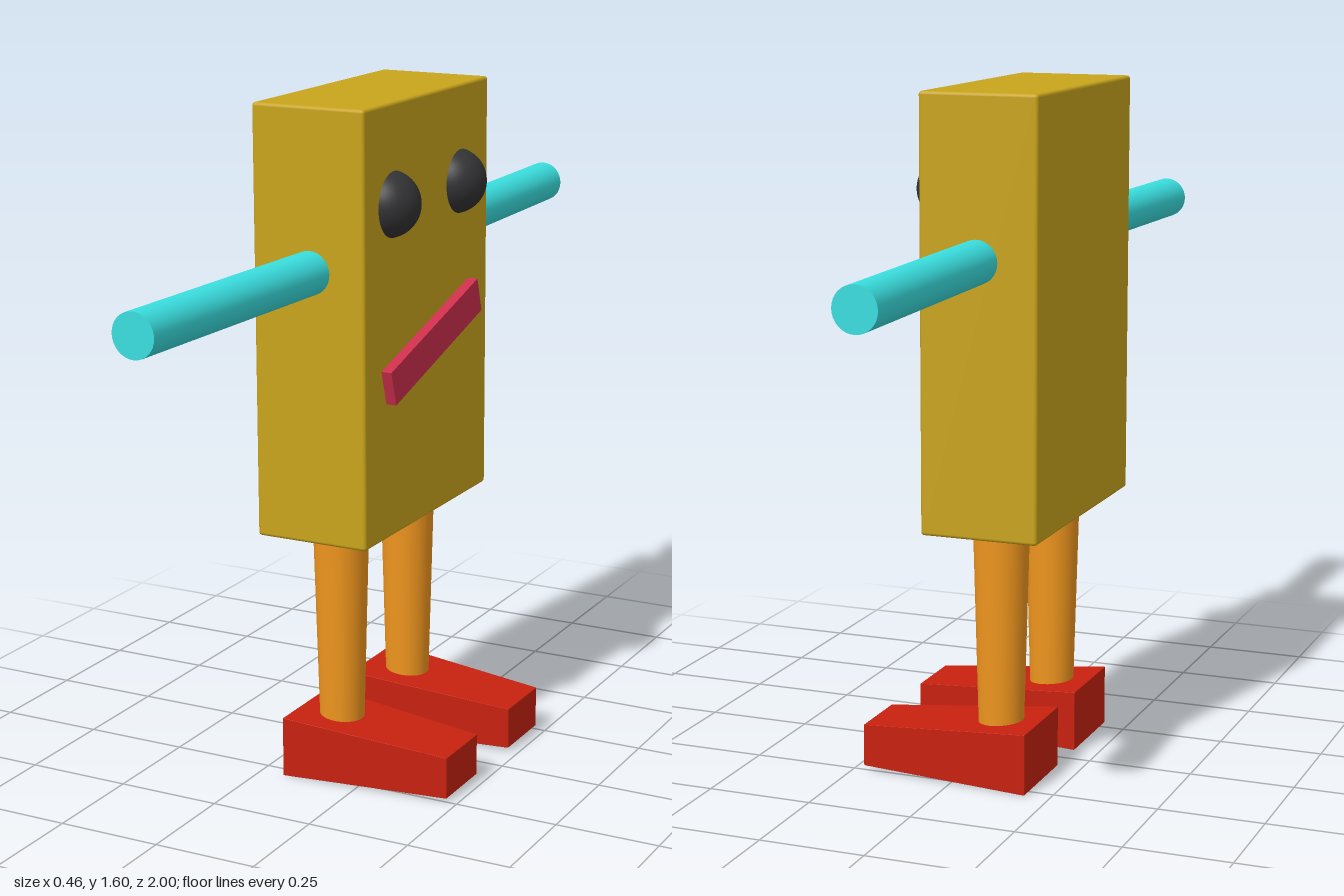
import * as THREE from 'three';
import { RoundedBoxGeometry } from 'three/addons/geometries/RoundedBoxGeometry.js';

const paint = (color) => new THREE.MeshStandardMaterial({ color });
const yellow = paint(0xc9a41c), black = paint(0x333335), pink = paint(0xcc2f4c);
const cyan = paint(0x3adfe0), orange = paint(0xf0961e), red = paint(0xc8210f);

function add(parent, name, geometry, material, x, y, z) {
  const mesh = new THREE.Mesh(geometry, material);
  mesh.name = name;
  mesh.position.set(x, y, z);
  parent.add(mesh);
  return mesh;
}

// Wedge shoe running along x, lower and narrower at the toe
function footGeometry() {
  const length = 0.415;
  const geo = new RoundedBoxGeometry(length, 1, 1, 2, 0.006);
  const p = geo.attributes.position;
  for (let i = 0; i < p.count; i++) {
    const t = p.getX(i) / length + 0.5;
    const bottom = 0.01 * t;
    const top = THREE.MathUtils.lerp(0.145, 0.11, t);
    const width = THREE.MathUtils.lerp(0.225, 0.163, t);
    p.setY(i, THREE.MathUtils.lerp(bottom, top, p.getY(i) + 0.5));
    p.setZ(i, p.getZ(i) * width);
  }
  geo.computeVertexNormals();
  return geo;
}

// Arm along z, leaning slightly back towards the hand
function armGeometry(side) {
  const inner = 0.25, outer = 1;
  const geo = new THREE.CylinderGeometry(0.05, 0.05, outer - inner, 32);
  geo.rotateX(side * Math.PI / 2);
  geo.translate(0, 0, side * (inner + outer) / 2);
  const p = geo.attributes.position;
  for (let i = 0; i < p.count; i++) {
    const t = (Math.abs(p.getZ(i)) - inner) / (outer - inner);
    p.setX(i, p.getX(i) - 0.022 * t);
  }
  geo.computeVertexNormals();
  return geo;
}

export function createModel() {
  const model = new THREE.Group();
  model.name = 'boxFigure';

  // Slab body with lightly softened edges, face towards +x
  add(model, 'body', new RoundedBoxGeometry(0.28, 1, 0.63, 2, 0.008), yellow, -0.09, 1.1, 0);

  // Crooked mouth
  const mouth = add(model, 'mouth', new THREE.BoxGeometry(0.05, 0.084, 0.465), pink, 0.05, 1.027, 0);
  mouth.rotation.x = 0.285;

  // Paired parts
  for (const side of [1, -1]) {
    const z = side * 0.17 + 0.002;
    add(model, 'eye', new THREE.SphereGeometry(0.077, 32, 24), black, 0.033, 1.372, z);
    add(model, 'arm', armGeometry(side), cyan, -0.085, 1.23, 0);
    add(model, 'leg', new THREE.CylinderGeometry(0.066, 0.053, 0.49, 32), orange, -0.09, 0.375, z);
    add(model, 'foot', footGeometry(), red, 0.018, 0, z);
  }
  return model;
}
